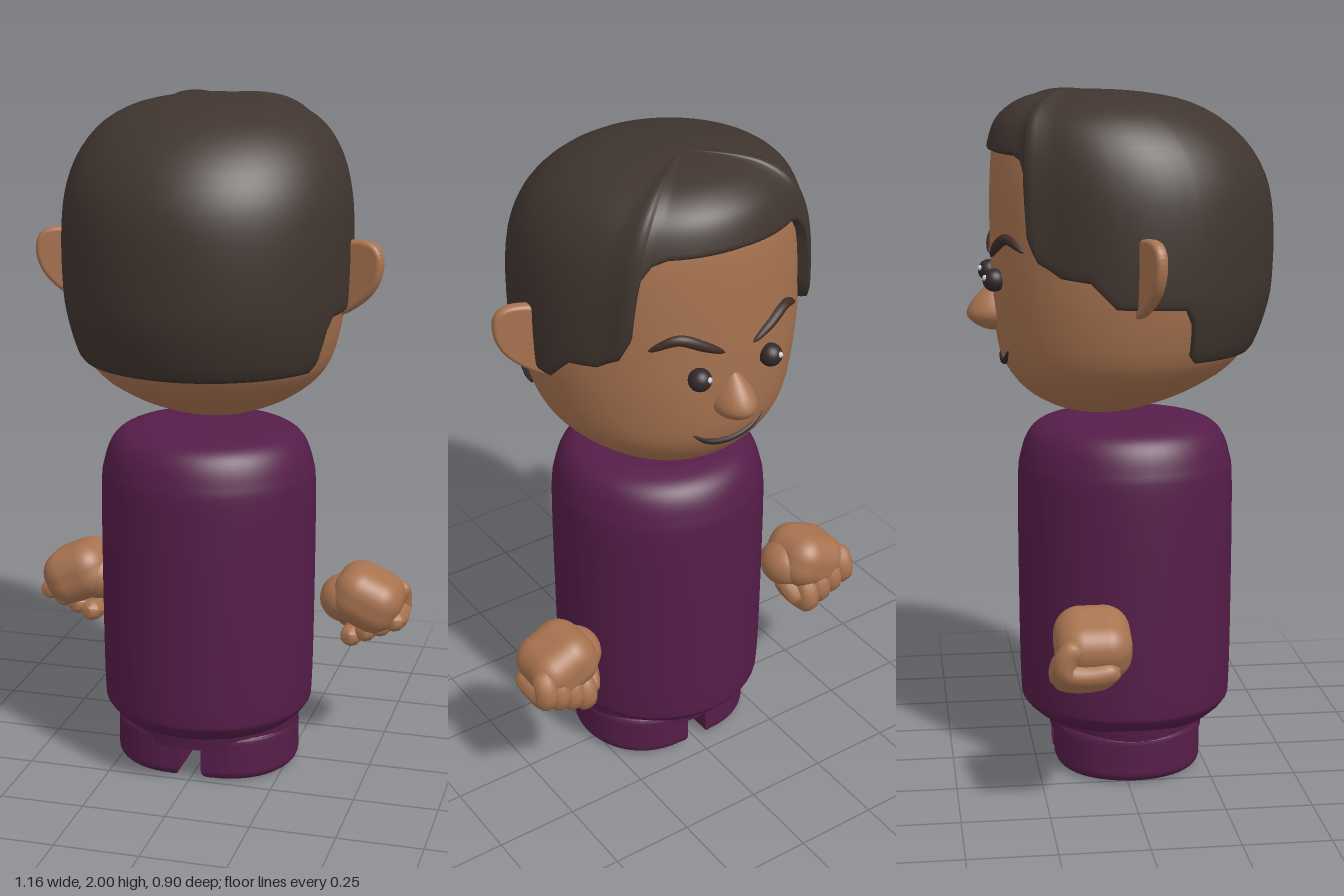
import * as THREE from 'three';
import { mergeVertices } from 'three/addons/utils/BufferGeometryUtils.js';
import { RoundedBoxGeometry } from 'three/addons/geometries/RoundedBoxGeometry.js';

const mat = (color) => new THREE.MeshStandardMaterial({ color });
const SKIN = mat(0xa87350), HAIR = mat(0x40352f), CLOTH = mat(0x561d49);
const DARK = mat(0x33282a), BROW = mat(0x3f2c26), WHITE = mat(0xd8d8d8);
const V = (x, y, z) => new THREE.Vector3(x, y, z);

function mesh(name, geometry, material, parent, pos) {
  const m = new THREE.Mesh(geometry, material);
  m.name = name;
  if (pos) m.position.set(...pos);
  parent.add(m);
  return m;
}

// Head profile: ring radius, height and ring centre in z
const profile = new THREE.CatmullRomCurve3([
  [0, 1.067, -0.05], [0.1, 1.078, -0.05], [0.2, 1.115, -0.035], [0.26, 1.15, -0.02],
  [0.32, 1.2, 0], [0.36, 1.26, 0.015], [0.395, 1.4, 0.033], [0.403, 1.5, 0.036],
  [0.403, 1.65, 0.034], [0.392, 1.75, 0.025], [0.362, 1.84, 0.003], [0.31, 1.91, -0.025],
  [0.24, 1.953, -0.045], [0.16, 1.974, -0.065], [0.08, 1.983, -0.078], [0, 1.985, -0.08],
].map((p) => V(...p)));

// Point on the head at curve position t, angle a from the face, pushed out by off
function headPoint(t, a, off) {
  const p = profile.getPoint(t), d = profile.getTangent(t);
  const len = Math.hypot(d.x, d.y) || 1;
  const end = t < 1e-6 || t > 1 - 1e-6;
  const r = end ? 0 : Math.max(0, p.x + (off * d.y) / len);
  const y = p.y - (off * (end ? (t > 0.5 ? -1 : 1) : d.x / len));
  return V(r * Math.sin(a), y, p.z - r * Math.cos(a));
}

function tAtHeight(y) {
  let lo = 0, hi = 1;
  for (let i = 0; i < 30; i++) {
    const mid = (lo + hi) / 2;
    if (profile.getPoint(mid).y < y) lo = mid; else hi = mid;
  }
  return lo;
}

// Point on the face at given x and y
function facePoint(x, y, off = 0) {
  const p = profile.getPoint(tAtHeight(y));
  return V(x, y, p.z - Math.sqrt(p.x * p.x - x * x) - off);
}

// Smooth closed-around surface from columns of points
function skinColumns(columns) {
  const rows = columns[0].length, pos = [], idx = [];
  columns.forEach((c) => c.forEach((p) => pos.push(p.x, p.y, p.z)));
  for (let i = 0; i < columns.length - 1; i++)
    for (let j = 0; j < rows - 1; j++) {
      const a = i * rows + j, b = a + rows;
      idx.push(a, a + 1, b, b, a + 1, b + 1);
    }
  let g = new THREE.BufferGeometry();
  g.setAttribute('position', new THREE.Float32BufferAttribute(pos, 3));
  g.setIndex(idx);
  g = mergeVertices(g, 1e-5);
  g.computeVertexNormals();
  return g;
}

// Tube whose thickness follows a rule along its length
function taperedTube(points, radius, rule, segs = 20, sides = 10) {
  const curve = new THREE.CatmullRomCurve3(points);
  const g = new THREE.TubeGeometry(curve, segs, radius, sides);
  const pos = g.attributes.position, p = V(0, 0, 0);
  for (let i = 0; i < pos.count; i++) {
    const u = Math.floor(i / (sides + 1)) / segs, c = curve.getPointAt(u);
    p.fromBufferAttribute(pos, i).sub(c).multiplyScalar(rule(u)).add(c);
    pos.setXYZ(i, p.x, p.y, p.z);
  }
  g.computeVertexNormals();
  return g;
}
const roundEnds = (u) => Math.sqrt(Math.max(0, 1 - Math.pow(Math.abs(2 * u - 1), 8)));
const pointedEnds = (u) => Math.pow(Math.max(0, Math.sin(Math.PI * u)), 0.5);

function buildHead(root) {
  const head = new THREE.Group();
  head.name = 'head';
  root.add(head);

  // Skull and face
  const cols = [];
  for (let i = 0; i <= 48; i++) {
    const a = -Math.PI + (i / 48) * 2 * Math.PI;
    cols.push(Array.from({ length: 41 }, (_, j) => headPoint(j / 40, a, 0)));
  }
  mesh('face', skinColumns(cols), SKIN, head);

  // Hair cap, with the hairline given as angle from the face and height
  const line = [[0, 1.83], [0.55, 1.825], [0.65, 1.81], [0.71, 1.77], [0.745, 1.6], [0.82, 1.54],
    [0.98, 1.5], [1.19, 1.49], [1.37, 1.42], [1.85, 1.415], [1.92, 1.37], [1.97, 1.28],
    [2.03, 1.26], [Math.PI, 1.26]];
  const half = [];
  for (let i = 0; i < line.length - 1; i++) {
    const [a0, y0] = line[i], [a1, y1] = line[i + 1];
    const n = Math.ceil(Math.max((a1 - a0) / 0.09, Math.abs(y1 - y0) / 0.05));
    for (let k = 0; k < n; k++) half.push([a0 + ((a1 - a0) * k) / n, y0 + ((y1 - y0) * k) / n]);
  }
  half.push(line[line.length - 1]);
  const around = [...half.slice(1).reverse().map(([a, y]) => [-a, y]), ...half];
  const hairCols = around.map(([a, y]) => {
    const t0 = tAtHeight(y), col = [headPoint(t0, a, -0.01)];
    const bump = 0.018 * Math.exp(-Math.pow((Math.abs(a) - 0.77) / 0.09, 2));
    for (let j = 0; j <= 28; j++) {
      const v = j === 0 ? 0 : Math.pow(j / 28, 1.3);
      const fade = THREE.MathUtils.clamp((1.95 - y - v * (1.95 - y)) / 0.2, 0, 1);
      col.push(headPoint(t0 + (1 - t0) * v, a, (j === 0 ? 0.012 : 0.016) + bump * fade));
    }
    return col;
  });
  const hair = mesh('hair', skinColumns(hairCols), HAIR.clone(), head);
  hair.material.side = THREE.DoubleSide;

  // Nose: a drop, narrow at the bridge and fullest near the tip
  const nose = new THREE.SphereGeometry(1, 24, 18), np = nose.attributes.position;
  for (let i = 0; i < np.count; i++) {
    const y = np.getY(i), f = 0.4 + 0.6 * Math.min(1, (1 - y) / 1.4);
    np.setXYZ(i, np.getX(i) * f * 0.068, y * 0.075, np.getZ(i) * f * 0.1);
  }
  nose.computeVertexNormals();
  mesh('nose', nose, SKIN, head, [0.008, 1.385, -0.347]);

  // Mouth
  const smile = [[-0.12, 1.268], [-0.07, 1.235], [0, 1.222], [0.07, 1.235], [0.12, 1.268]];
  mesh('mouth', taperedTube(smile.map(([x, y]) => facePoint(x, y)), 0.011, pointedEnds), DARK, head);

  for (const s of [1, -1]) {
    const side = s > 0 ? 'left' : 'right';
    // Eye with its glint
    const ex = s * 0.118 + 0.008;
    mesh(side + 'Eye', new THREE.SphereGeometry(0.033, 20, 14), DARK, head, [ex, 1.47, -0.364]);
    mesh(side + 'EyeGlint', new THREE.SphereGeometry(0.009, 10, 8), WHITE, head, [ex - 0.012, 1.478, -0.39]);
    // Brow, low at the nose and arched outwards
    const brow = [[0.045, 1.53], [0.11, 1.565], [0.175, 1.592], [0.245, 1.56]];
    mesh(side + 'Brow', taperedTube(brow.map(([x, y]) => facePoint(s * x, y, 0.003)), 0.016, pointedEnds), BROW, head);
    // Ear
    const ear = new THREE.Shape();
    ear.moveTo(-s * 0.03, 0.19);
    ear.bezierCurveTo(s * 0.04, 0.2, s * 0.105, 0.215, s * 0.107, 0.15);
    ear.bezierCurveTo(s * 0.107, 0.08, s * 0.06, 0.04, -s * 0.01, 0.0);
    ear.closePath();
    const eg = new THREE.ExtrudeGeometry(ear, { depth: 0.008, bevelThickness: 0.014, bevelSize: 0.012, bevelSegments: 5, curveSegments: 14 });
    const e = mesh(side + 'Ear', eg, SKIN, head, [s * 0.405, 1.405, 0.02]);
    e.rotation.y = -s * 0.33;
  }
}

function buildHand(root, s) {
  const hand = new THREE.Group();
  hand.name = s > 0 ? 'leftHand' : 'rightHand';
  root.add(hand);
  // Back of the fist and wrist
  const palm = mesh('palm', new RoundedBoxGeometry(0.215, 0.175, 0.215, 6, 0.075), SKIN, hand, [s * 0.46, 0.495, -0.125]);
  palm.rotation.z = -s * 0.42;
  const wrist = mesh('wrist', new THREE.SphereGeometry(1, 20, 14), SKIN, hand, [s * 0.395, 0.49, -0.115]);
  wrist.scale.set(0.08, 0.075, 0.085);
  // Fingers curled forwards and under
  for (let i = 0; i < 4; i++) {
    const x = s * (0.548 - i * 0.044), y = 0.432 - i * 0.02;
    const path = [[0.09, -0.165], [0.055, -0.203], [0.01, -0.208], [-0.002, -0.16], [0.005, -0.09], [0.02, -0.06]];
    mesh('finger' + (i + 1), taperedTube(path.map(([dy, z]) => V(x, y + dy, z)), 0.034, roundEnds, 24, 12), SKIN, hand);
  }
  // Thumb on the inner side
  const thumb = [V(s * 0.37, 0.48, -0.1), V(s * 0.375, 0.43, -0.16), V(s * 0.395, 0.385, -0.2)];
  mesh('thumb', taperedTube(thumb, 0.032, roundEnds, 16, 12), SKIN, hand);
}

export function createModel() {
  const root = new THREE.Group();
  root.name = 'figure';
  buildHead(root);

  // Torso
  const outline = new THREE.SplineCurve([[0.19, 1.049], [0.25, 1.033], [0.287, 1.0], [0.309, 0.94], [0.319, 0.85],
    [0.319, 0.5], [0.315, 0.24], [0.305, 0.19], [0.27, 0.155]].map((p) => new THREE.Vector2(...p))).getPoints(40);
  const torso = [new THREE.Vector2(0, 0.15), ...outline.reverse(), new THREE.Vector2(0, 1.052)];
  mesh('torso', new THREE.LatheGeometry(torso, 48), CLOTH, root, [0, 0, 0.025]);

  // Hips under the torso
  const hips = mesh('hips', new THREE.CylinderGeometry(0.282, 0.272, 0.07, 48), CLOTH, root, [0, 0.135, 0.025]);
  hips.scale.z = 0.84;

  for (const s of [1, -1]) {
    // Short leg with a D-shaped, rounded sole
    const d = new THREE.Shape();
    d.moveTo(s * 0.065, -0.185);
    d.bezierCurveTo(s * 0.305, -0.18, s * 0.305, 0.18, s * 0.065, 0.185);
    d.closePath();
    const g = new THREE.ExtrudeGeometry(d, { depth: 0.09, bevelThickness: 0.03, bevelSize: 0.032, bevelSegments: 6, curveSegments: 28 });
    g.rotateX(Math.PI / 2);
    mesh(s > 0 ? 'leftLeg' : 'rightLeg', g, CLOTH, root, [0, 0.12, 0.023]);
    buildHand(root, s);
  }
  return root;
}
